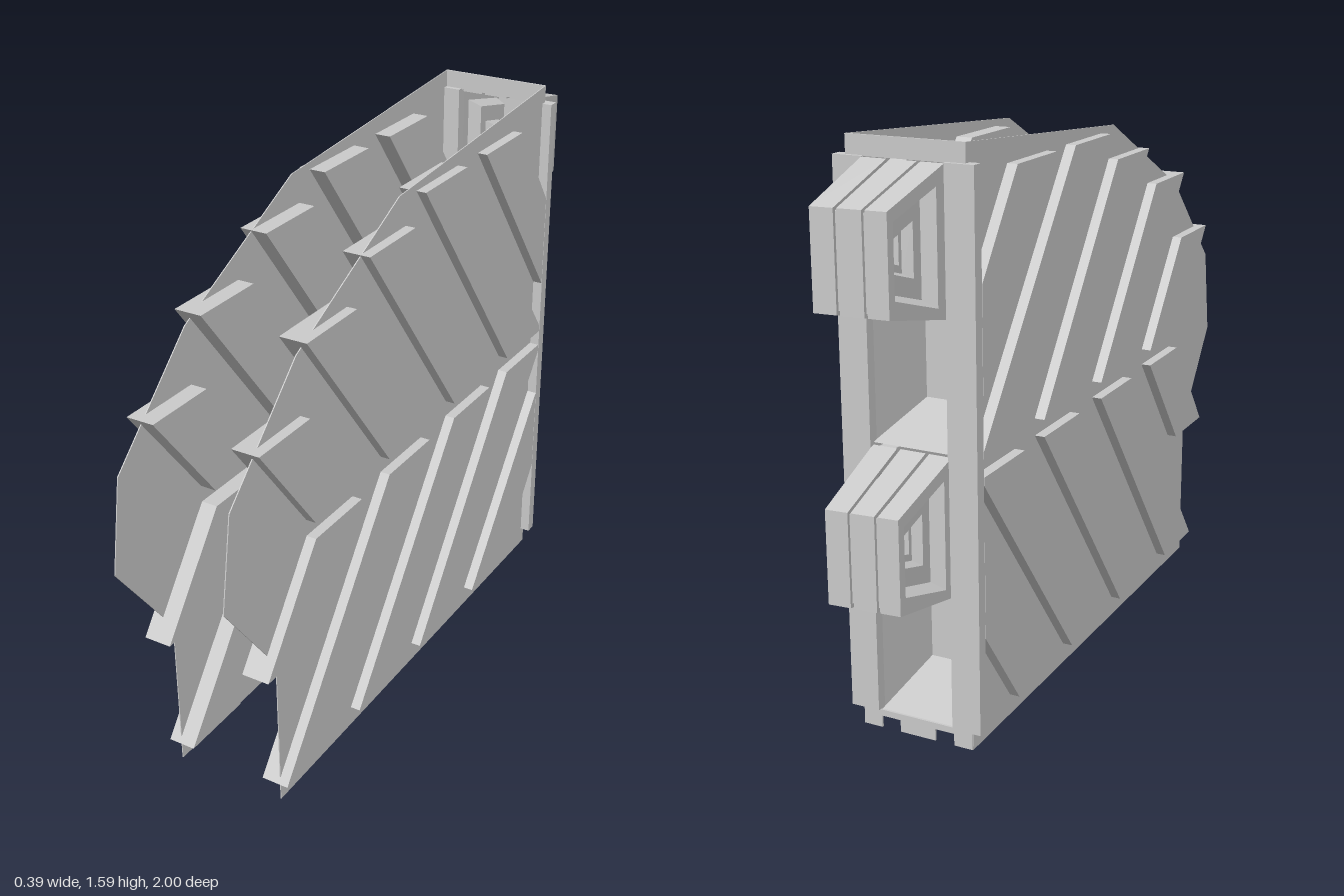
import * as THREE from 'three';

const mat = new THREE.MeshStandardMaterial({ color: 0xcccccc, flatShading: true, side: THREE.DoubleSide });

function add(group, name, geometry) {
  const mesh = new THREE.Mesh(geometry, mat);
  mesh.name = name;
  group.add(mesh);
  return mesh;
}

// Flat shape drawn as (z, y) points, extruded from x0 to x1
function sideExtrude(points, x0, x1) {
  const shape = new THREE.Shape(points.map(([z, y]) => new THREE.Vector2(z, y)));
  const g = new THREE.ExtrudeGeometry(shape, { depth: x1 - x0, bevelEnabled: false });
  return g.rotateY(-Math.PI / 2).translate(x1, 0, 0);
}

// Four-cornered loops joined into a skin, with the last loop capped
function loft(loops) {
  const pos = [];
  const quad = (a, b, c, d) => pos.push(...a, ...b, ...c, ...a, ...c, ...d);
  for (let i = 0; i < loops.length - 1; i++) {
    for (let k = 0; k < 4; k++) {
      const n = (k + 1) % 4;
      quad(loops[i][k], loops[i][n], loops[i + 1][n], loops[i + 1][k]);
    }
  }
  quad(...loops[loops.length - 1]);
  const g = new THREE.BufferGeometry();
  g.setAttribute('position', new THREE.Float32BufferAttribute(pos, 3));
  g.computeVertexNormals();
  return g;
}

const PANEL = [[0.79, 0], [0.79, 0.45], [0.834, 0.51], [1, 0.733], [0.957, 0.995],
  [0.66, 1.28], [0.166, 1.523], [-0.7, 1.59], [-0.7, 0]];

const SLATS = [
  // rising row
  [[0.87, 1.112], [0.65, 1.112], [0.41, 0.805], [0.635, 0.805]],
  [[0.657, 1.317], [0.428, 1.317], [0.037, 0.805], [0.262, 0.805]],
  [[0.364, 1.432], [0.134, 1.432], [-0.337, 0.805], [-0.112, 0.805]],
  [[0.08, 1.51], [-0.15, 1.51], [-0.68, 0.825], [-0.68, 0.805], [-0.455, 0.805]],
  [[-0.267, 1.51], [-0.49, 1.51], [-0.68, 1.25], [-0.68, 0.97]],
  // falling row
  [[0.635, 0.757], [0.41, 0.757], [0.65, 0.452], [0.87, 0.452]],
  [[0.262, 0.757], [0.037, 0.757], [0.578, 0.06], [0.802, 0.06]],
  [[-0.112, 0.757], [-0.337, 0.757], [0.203, 0.06], [0.428, 0.06]],
  [[-0.455, 0.757], [-0.68, 0.757], [-0.68, 0.735], [-0.15, 0.06], [0.075, 0.06]],
  [[-0.68, 0.584], [-0.68, 0.317], [-0.49, 0.06], [-0.267, 0.06]],
];

function makeSide(sign) {
  const side = new THREE.Group();
  side.name = sign > 0 ? 'leftSide' : 'rightSide';
  const place = (a, b) => (sign > 0 ? [a, b] : [-b, -a]);
  add(side, 'sidePanel', sideExtrude(PANEL, ...place(0.163, 0.166)));
  SLATS.forEach((s) => add(side, 'chevronSlat', sideExtrude(s, ...place(0.115, 0.195))));
  add(side, 'rearPost', new THREE.BoxGeometry(0.083, 1.485, 0.033))
    .position.set(sign * 0.1535, 0.7975, -0.6985);
  return side;
}

// Tapered cup reaching forward, open at the back
function makeCup(y0) {
  const rect = (w, a, b, z) => [[-w, a, z], [w, a, z], [w, b, z], [-w, b, z]];
  return loft([rect(0.113, y0, y0 + 0.37, -0.7), rect(0.097, y0 + 0.052, y0 + 0.307, -0.452)]);
}

// Slight sideways lean and twist toward the tip of a pod
function lean(g) {
  const p = g.attributes.position;
  for (let i = 0; i < p.count; i++) {
    const x = p.getX(i), z = p.getZ(i);
    const t = Math.max(0, (-z - 0.715) / 0.275);
    p.setX(i, x * (1 - 0.15 * t) - 0.0225 * t);
    p.setZ(i, z - 0.07 * x * t);
  }
  g.computeVertexNormals();
  return g;
}

const HOOP = [[-0.712, 1.16], [-0.99, 1.222], [-0.99, 1.47], [-0.712, 1.538],
  [-0.712, 1.528], [-0.98, 1.462], [-0.98, 1.23], [-0.712, 1.17]];
const WELL = [[-0.754, 1.197], [-0.963, 1.261], [-0.963, 1.443], [-0.754, 1.49]];

function makePod() {
  const pod = new THREE.Group();
  pod.name = 'rearPod';
  // three ribs, open toward the front
  [[-0.114, -0.05], [-0.04, 0.033], [0.043, 0.114]]
    .forEach(([a, b]) => add(pod, 'podRib', lean(sideExtrude(HOOP, a, b))));
  // groove floor at the tip
  add(pod, 'podCore', lean(new THREE.BoxGeometry(0.2, 0.23, 0.008).translate(0, 1.346, -0.973)));
  // stepped wells sunk into both flanks
  for (const s of [1, -1]) {
    const well = (k, x) => WELL.map(([z, y]) => [s * x, 1.348 + (y - 1.348) * k, -0.848 + (z + 0.848) * k]);
    const rim = HOOP.slice(0, 4).map(([z, y]) => [s * 0.114, y, z]);
    add(pod, 'podWell', lean(loft([rim, well(1, 0.114), well(0.87, 0.075), well(0.47, 0.075),
      well(0.4, 0.045), well(0.25, 0.045), well(0.2, 0.025)])));
  }
  return pod;
}

export function createModel() {
  const model = new THREE.Group();
  model.name = 'slattedHousing';
  model.add(makeSide(1), makeSide(-1));

  // back crossbars: plain strip above, notched strip below
  add(model, 'topCrossbar', new THREE.BoxGeometry(0.33, 0.052, 0.006)).position.set(0, 1.564, -0.7);
  add(model, 'bottomCrossbar', new THREE.BoxGeometry(0.33, 0.018, 0.006)).position.set(0, 0.043, -0.7);
  for (const [x, w] of [[-0.1375, 0.055], [0, 0.106], [0.1375, 0.055]]) {
    add(model, 'bottomTooth', new THREE.BoxGeometry(w, 0.035, 0.006)).position.set(x, 0.0175, -0.7);
  }

  // cups alternate with pods up the back
  add(model, 'lowerCup', makeCup(0.05));
  add(model, 'upperCup', makeCup(0.81));
  const upper = makePod();
  const lower = makePod();
  lower.position.set(0, -0.735, 0.013);
  model.add(upper, lower);
  return model;
}
